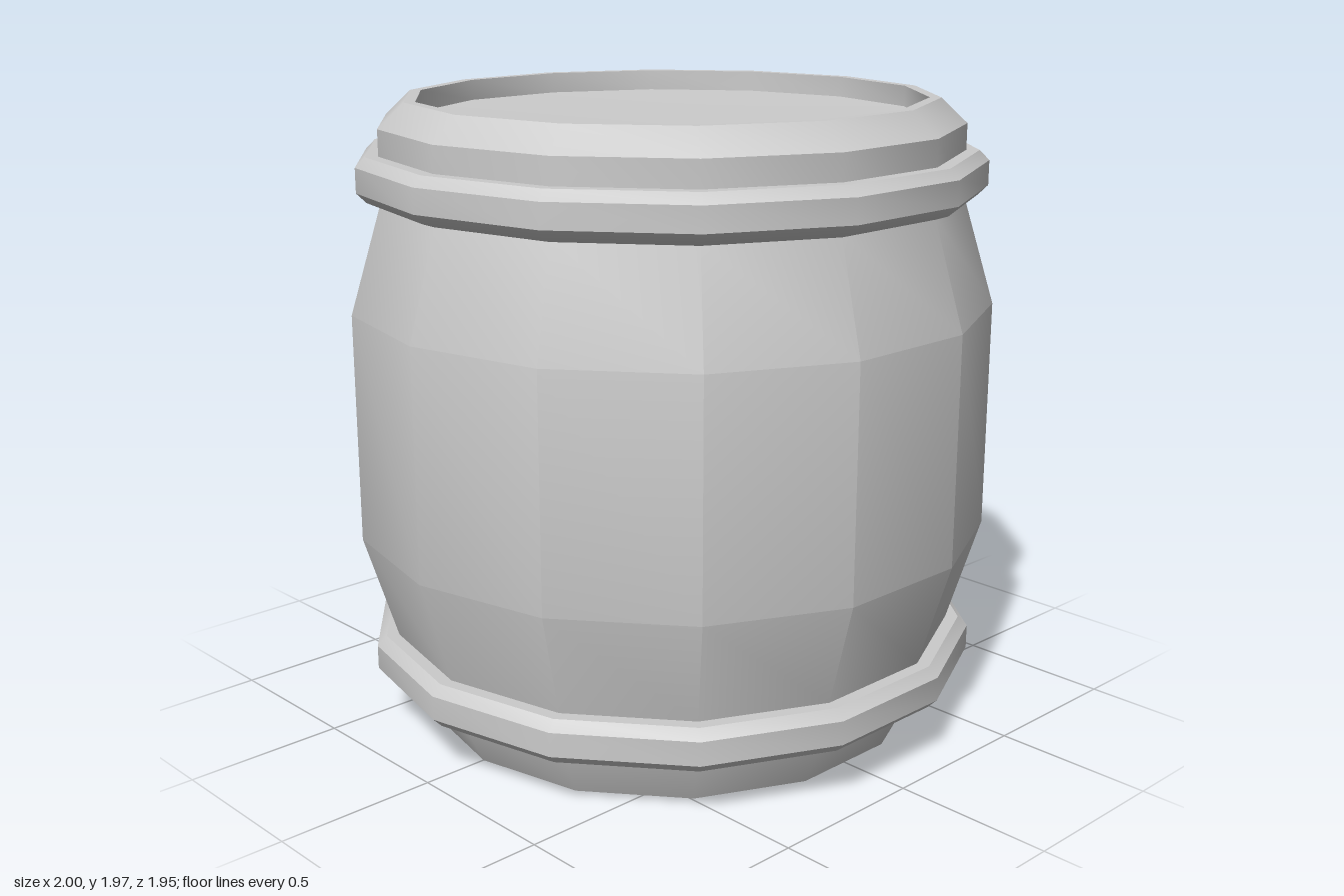
import * as THREE from 'three';
import { toCreasedNormals } from 'three/addons/utils/BufferGeometryUtils.js';

const SIDES = 14;
const material = new THREE.MeshStandardMaterial({ color: 0xcccccc });

// Turned part: profile of [radius, height] pairs running up the outside
function turned(name, profile) {
  const points = profile.map(([r, y]) => new THREE.Vector2(r, y));
  const lathe = new THREE.LatheGeometry(points, SIDES, Math.PI / 2);
  const mesh = new THREE.Mesh(toCreasedNormals(lathe, Math.PI / 6), material);
  mesh.name = name;
  return mesh;
}

// Bevelled hoop around the barrel, starting at height y
function hoop(name, y, innerBottom) {
  return turned(name, [
    [innerBottom, y - 0.01], [0.94, y + 0.01], [0.97, y + 0.04],
    [0.97, y + 0.115], [0.94, y + 0.145], [0.86, y + 0.145],
  ]);
}

export function createModel() {
  const barrel = new THREE.Group();
  barrel.name = 'barrel';

  // Bulging body with closed base
  barrel.add(turned('body', [
    [0, 0], [0.79, 0], [0.87, 0.16], [0.9, 0.3],
    [1, 0.63], [1, 1.34], [0.9, 1.67],
  ]));

  // Hoops
  barrel.add(hoop('lowerHoop', 0.155, 0.85));
  barrel.add(hoop('upperHoop', 1.665, 0.88));

  // Bevelled rim with recessed, slightly dished top
  barrel.add(turned('rimAndLid', [
    [0.9, 1.67], [0.9, 1.89], [0.82, 1.965],
    [0.785, 1.965], [0.785, 1.9], [0, 1.87],
  ]));

  return barrel;
}
